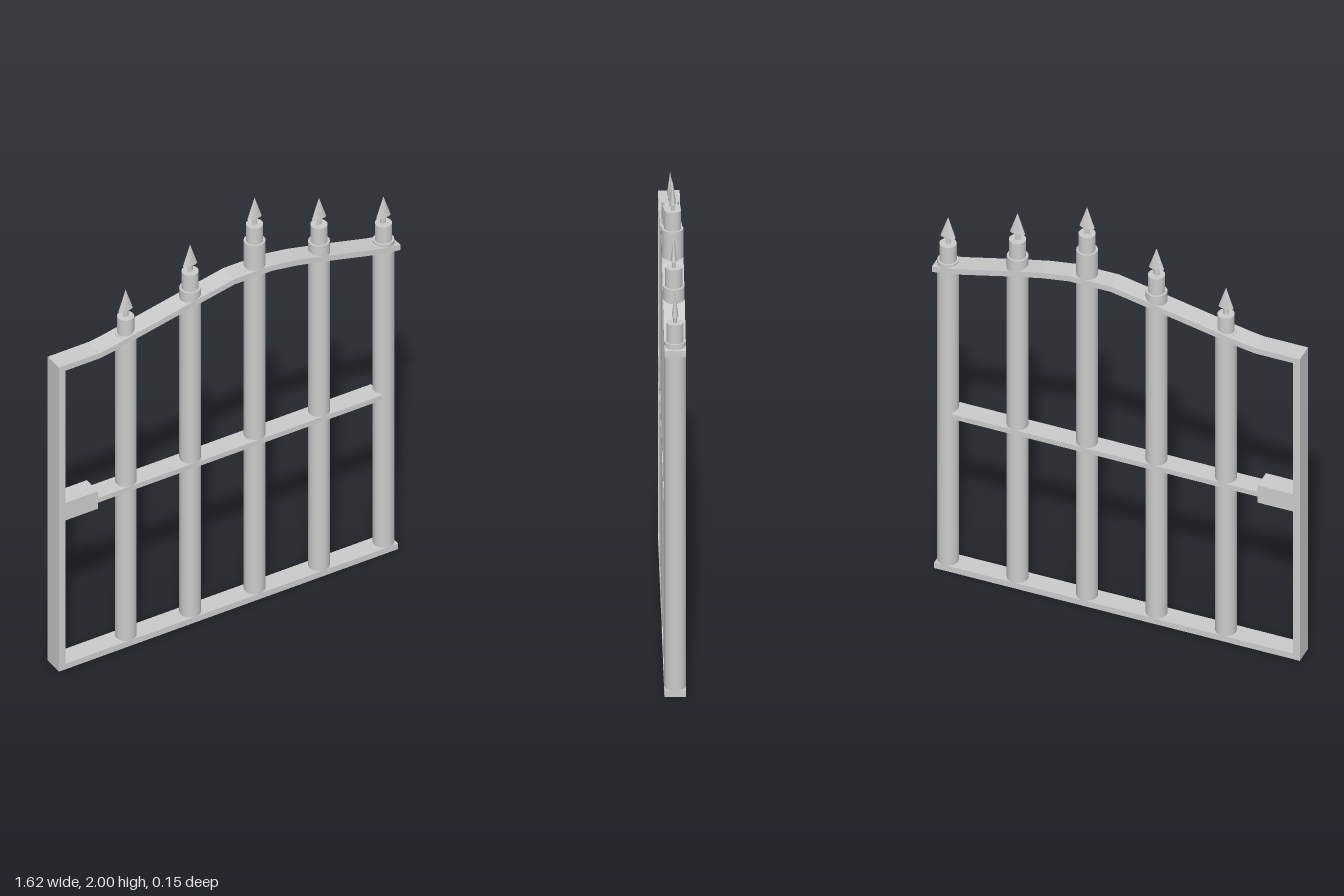
import * as THREE from 'three';

const DEPTH = 0.088;

export function createModel() {
  const gate = new THREE.Group();
  gate.name = 'gate';
  const mat = new THREE.MeshStandardMaterial({ color: 0xcccccc });

  const add = (parent, name, geo, x, y, z = 0) => {
    const mesh = new THREE.Mesh(geo, mat);
    mesh.name = name;
    mesh.position.set(x, y, z);
    parent.add(mesh);
    return mesh;
  };
  // Box given by its extents in x and y, centred in depth
  const bar = (name, x0, x1, y0, y1) =>
    add(gate, name, new THREE.BoxGeometry(x1 - x0, y1 - y0, DEPTH), (x0 + x1) / 2, (y0 + y1) / 2);
  // Upright cylinder between two heights
  const rod = (parent, name, r, y0, y1) =>
    add(parent, name, new THREE.CylinderGeometry(r, r, y1 - y0, 32), 0, (y0 + y1) / 2);

  // Straight frame members
  bar('bottomRail', -0.81, 0.795, 0, 0.028);
  bar('sideStile', -0.81, -0.78, 0.028, 1.51);
  bar('middleRail', -0.625, 0.72, 0.782, 0.806);
  bar('latchBlock', -0.78, -0.625, 0.752, 0.84);

  // Arched top rail: constant-height strip following the crown line
  const crown = [
    [-0.81, 1.535], [-0.615, 1.535], [-0.55, 1.545], [-0.3, 1.597], [-0.06, 1.646], [0.02, 1.662],
    [0.2, 1.662], [0.32, 1.643], [0.45, 1.613], [0.7, 1.55], [0.75, 1.54], [0.805, 1.533],
  ];
  const outline = [...crown, ...crown.map(([x, y]) => [x, y - 0.027]).reverse()];
  const shape = new THREE.Shape(outline.map(([x, y]) => new THREE.Vector2(x, y)));
  const arch = new THREE.ExtrudeGeometry(shape, { depth: DEPTH, bevelEnabled: false });
  add(gate, 'archedTopRail', arch, 0, 0, -DEPTH / 2);

  // Posts with a stepped collar, thin neck and flattened spearhead
  const tips = [1.77, 1.88, 2.0, 1.88, 1.77];
  tips.forEach((tip, i) => {
    const post = new THREE.Group();
    post.name = 'post' + (i + 1);
    post.position.x = -0.468 + i * 0.305;
    gate.add(post);
    const collarTop = tip - 0.132;
    const shaftTop = collarTop - 0.082;
    rod(post, 'shaft', 0.044, 0.028, shaftTop);
    rod(post, 'collar', 0.035, shaftTop, collarTop);
    rod(post, 'neck', 0.012, collarTop, tip - 0.095).scale.z = 0.6;
    const spear = add(post, 'spearhead', new THREE.ConeGeometry(0.033, 0.1, 24), 0, tip - 0.05);
    spear.scale.z = 0.4;
  });

  // The gate stands slightly ajar
  gate.rotation.y = 0.0355;
  gate.position.z = -0.003;
  const model = new THREE.Group();
  model.name = 'gateModel';
  model.add(gate);
  return model;
}
